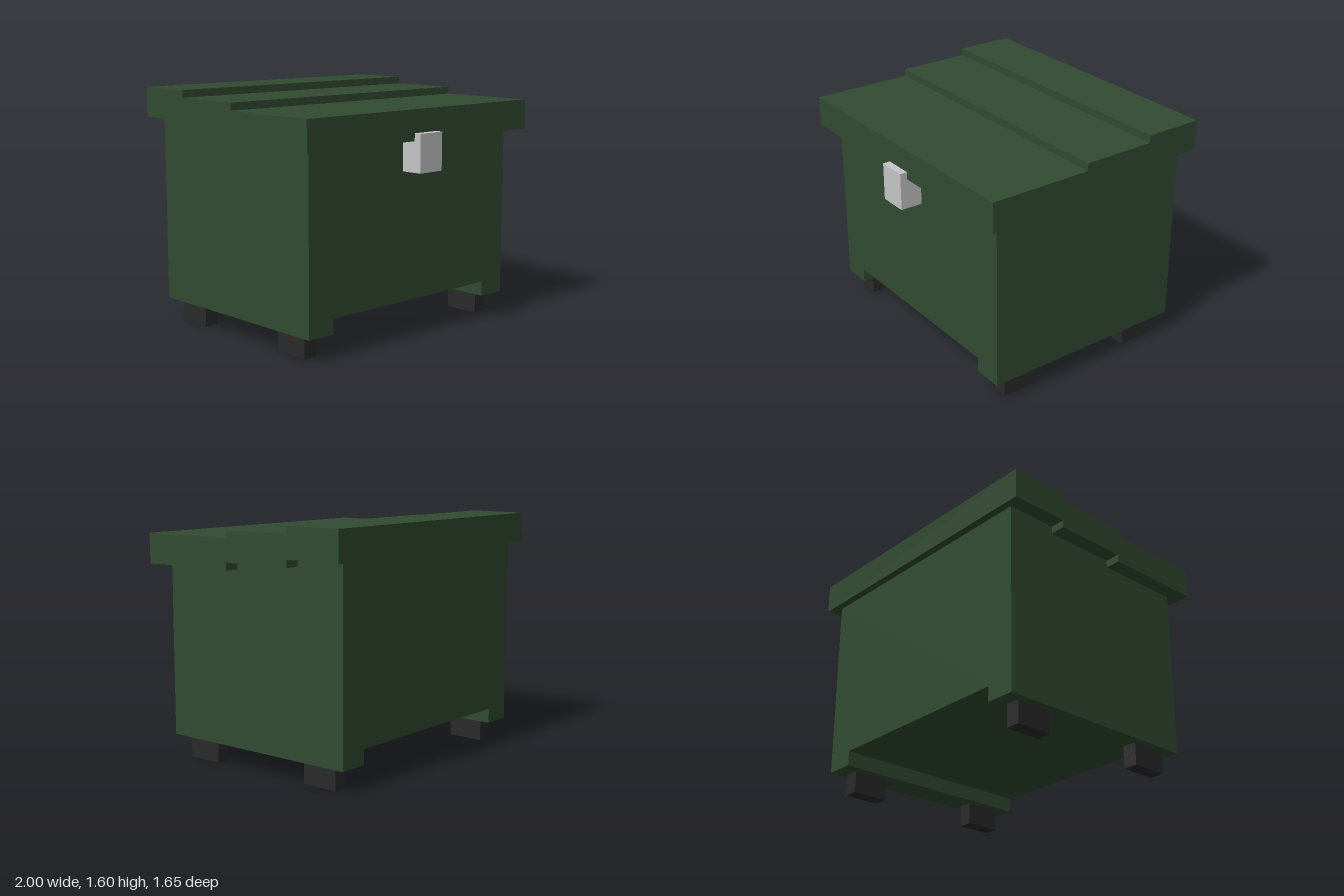
import * as THREE from 'three';

const paint = (name, color) => {
  const m = new THREE.MeshStandardMaterial({ color });
  m.name = name;
  return m;
};

// Extrudes a closed outline, centred on its depth
function prism(points, depth) {
  const shape = new THREE.Shape(points.map(([x, y]) => new THREE.Vector2(x, y)));
  const geo = new THREE.ExtrudeGeometry(shape, { depth, bevelEnabled: false });
  return geo.translate(0, 0, -depth / 2);
}

export function createModel() {
  const group = new THREE.Group();
  const green = paint('dark green', 0x324b32);
  const grey = paint('light grey', 0xc6c6c6);
  const black = paint('charcoal', 0x2a2a2a);

  const add = (name, geo, material, x = 0, y = 0, z = 0) => {
    const mesh = new THREE.Mesh(geo, material);
    mesh.name = name;
    mesh.position.set(x, y, z);
    group.add(mesh);
  };

  // Bin body with a channel running front to back underneath
  add('body', prism([
    [-0.9, 0.15], [-0.7, 0.15], [-0.7, 0.25], [0.7, 0.25],
    [0.7, 0.15], [0.9, 0.15], [0.9, 1.4], [-0.9, 1.4],
  ], 1.45), green, 0, 0, -0.05);

  // Lid in three steps rising to the back; outline is (z, y)
  const lid = prism([
    [0.775, 1.3], [0.775, 1.5], [0.075, 1.5], [0.075, 1.55], [-0.425, 1.55], [-0.425, 1.6],
    [-0.825, 1.6], [-0.825, 1.4], [-0.425, 1.4], [-0.425, 1.35], [0.075, 1.35], [0.075, 1.3],
  ].reverse(), 2).rotateY(-Math.PI / 2);
  add('lid', lid, green);

  // Latch over the front edge of the lid
  add('latch', new THREE.BoxGeometry(0.2, 0.25, 0.2), grey, 0, 1.225, 0.725);

  // Four feet
  for (const [side, x] of [['left', 0.8], ['right', -0.8]])
    for (const [end, z] of [['Front', 0.45], ['Back', -0.55]])
      add(`${side}${end}Foot`, new THREE.BoxGeometry(0.1, 0.15, 0.25), black, x, 0.075, z);

  return group;
}
